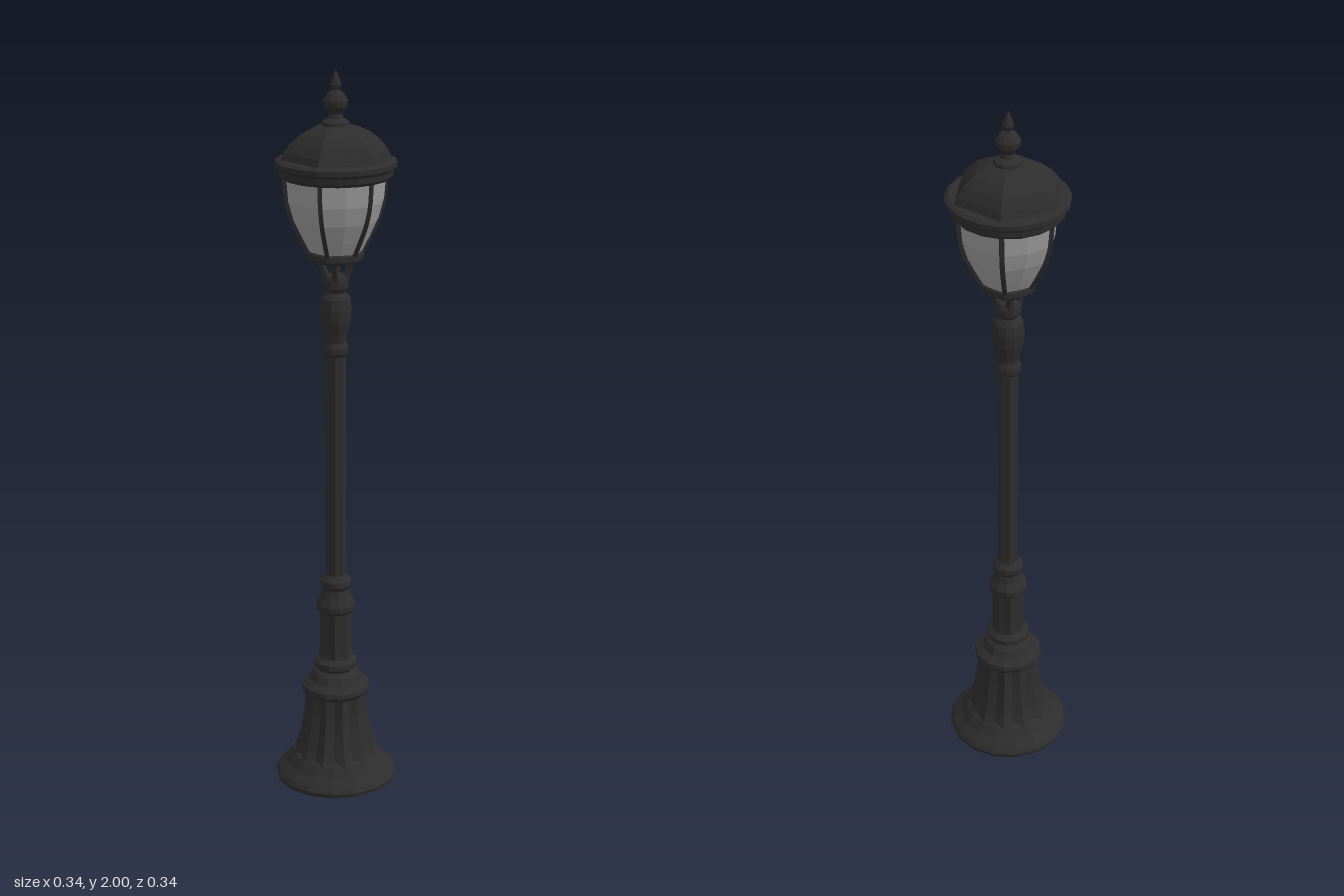
import * as THREE from 'three';

export function createModel() {
  const model = new THREE.Group();
  const iron = new THREE.MeshStandardMaterial({ color: 0x2d2d2d, flatShading: true });
  iron.name = 'black iron';
  const frosted = new THREE.MeshStandardMaterial({ color: 0x9a9a9a, flatShading: true, side: THREE.DoubleSide });
  frosted.name = 'frosted glass';

  const add = (name, geometry, material = iron, parent = model) => {
    const mesh = new THREE.Mesh(geometry, material);
    mesh.name = name;
    parent.add(mesh);
    return mesh;
  };

  // Turned part from [radius, height] points; every odd corner is drawn in by the factor "inset"
  const turned = (name, profile, sides, inset = 1, material = iron, parent = model) => {
    const points = profile.map(([r, y]) => new THREE.Vector2(r, y));
    const geo = new THREE.LatheGeometry(points, sides, Math.PI / 2);
    const pos = geo.attributes.position;
    for (let i = 0; i < pos.count; i++) {
      const column = Math.floor(i / points.length);
      if (column % 2) {
        pos.setX(i, pos.getX(i) * inset);
        pos.setZ(i, pos.getZ(i) * inset);
      }
    }
    geo.computeVertexNormals();
    return add(name, geo, material, parent);
  };

  // Pedestal: flared foot, fluted bell and moulded cap
  turned('foot', [[0, 0], [0.168, 0], [0.171, 0.012], [0.163, 0.024], [0.14, 0.045], [0.122, 0.07], [0.1, 0.085]], 16);
  turned('flutedBell', [[0.127, 0.06], [0.11, 0.1], [0.098, 0.15], [0.09, 0.2], [0.087, 0.26]], 24, 0.9);
  turned('pedestalCap', [[0.07, 0.25], [0.088, 0.255], [0.097, 0.268], [0.095, 0.28], [0.074, 0.295],
    [0.064, 0.315], [0.05, 0.325], [0.061, 0.335], [0.061, 0.35], [0.046, 0.362]], 12);

  // Lower shaft and its collars
  turned('lowerShaft', [[0.049, 0.34], [0.045, 0.38], [0.044, 0.51]], 16, 0.9);
  turned('lowerCollar', [[0.043, 0.495], [0.054, 0.508], [0.054, 0.522], [0.041, 0.545], [0.036, 0.565],
    [0.044, 0.578], [0.043, 0.592], [0.028, 0.608]], 12);

  // Slim fluted pole
  turned('pole', [[0.029, 0.59], [0.027, 1.25]], 16, 0.9);

  // Neck with an egg-shaped knop
  turned('neck', [[0.026, 1.235], [0.035, 1.245], [0.035, 1.26], [0.028, 1.275], [0.031, 1.295], [0.041, 1.33],
    [0.044, 1.365], [0.04, 1.395], [0.027, 1.412], [0.035, 1.425], [0.035, 1.445], [0.029, 1.458], [0, 1.462]], 12);

  // Four open arms carrying the lantern
  const yoke = new THREE.Group();
  yoke.name = 'yoke';
  model.add(yoke);
  for (let i = 0; i < 4; i++) {
    const a = Math.PI / 4 + i * Math.PI / 2;
    const path = new THREE.CatmullRomCurve3([[0.025, 1.445], [0.034, 1.475], [0.052, 1.512]].map(
      ([r, y]) => new THREE.Vector3(r * Math.cos(a), y, r * Math.sin(a))));
    add('yokeArm', new THREE.TubeGeometry(path, 4, 0.01, 5), iron, yoke);
  }

  // Hexagonal lantern: floor, bulged panes and corner bars
  const lantern = new THREE.Group();
  lantern.name = 'lantern';
  model.add(lantern);
  turned('lanternFloor', [[0, 1.498], [0.07, 1.498], [0.078, 1.506], [0.078, 1.52], [0.072, 1.528], [0, 1.528]],
    12, 0.93, iron, lantern);
  const pane = [[0.073, 1.522], [0.093, 1.56], [0.117, 1.61], [0.131, 1.66], [0.137, 1.73]];
  turned('panes', pane, 12, 0.92, frosted, lantern);
  for (let i = 0; i < 6; i++) {
    const a = i * Math.PI / 3;
    const path = new THREE.CatmullRomCurve3(pane.map(
      ([r, y]) => new THREE.Vector3(r * Math.cos(a), y, r * Math.sin(a))));
    add('cornerBar', new THREE.TubeGeometry(path, 8, 0.008, 4), iron, lantern);
  }

  // Roof: round moulded rim under a six-sided dome
  turned('roofRim', [[0, 1.72], [0.142, 1.72], [0.15, 1.728], [0.151, 1.743], [0.161, 1.752], [0.161, 1.765],
    [0.15, 1.771], [0, 1.773]], 18, 1, iron, lantern);
  turned('roofDome', [[0.15, 1.765], [0.139, 1.79], [0.119, 1.815], [0.092, 1.837], [0.06, 1.852], [0.03, 1.86], [0, 1.862]],
    6, 1, iron, lantern);

  // Finial with a pointed tip
  turned('finial', [[0.039, 1.852], [0.037, 1.866], [0.021, 1.875], [0.017, 1.887], [0.031, 1.906], [0.033, 1.922],
    [0.023, 1.938], [0.01, 1.948], [0.015, 1.962], [0.01, 1.978], [0, 2]], 10);

  return model;
}
